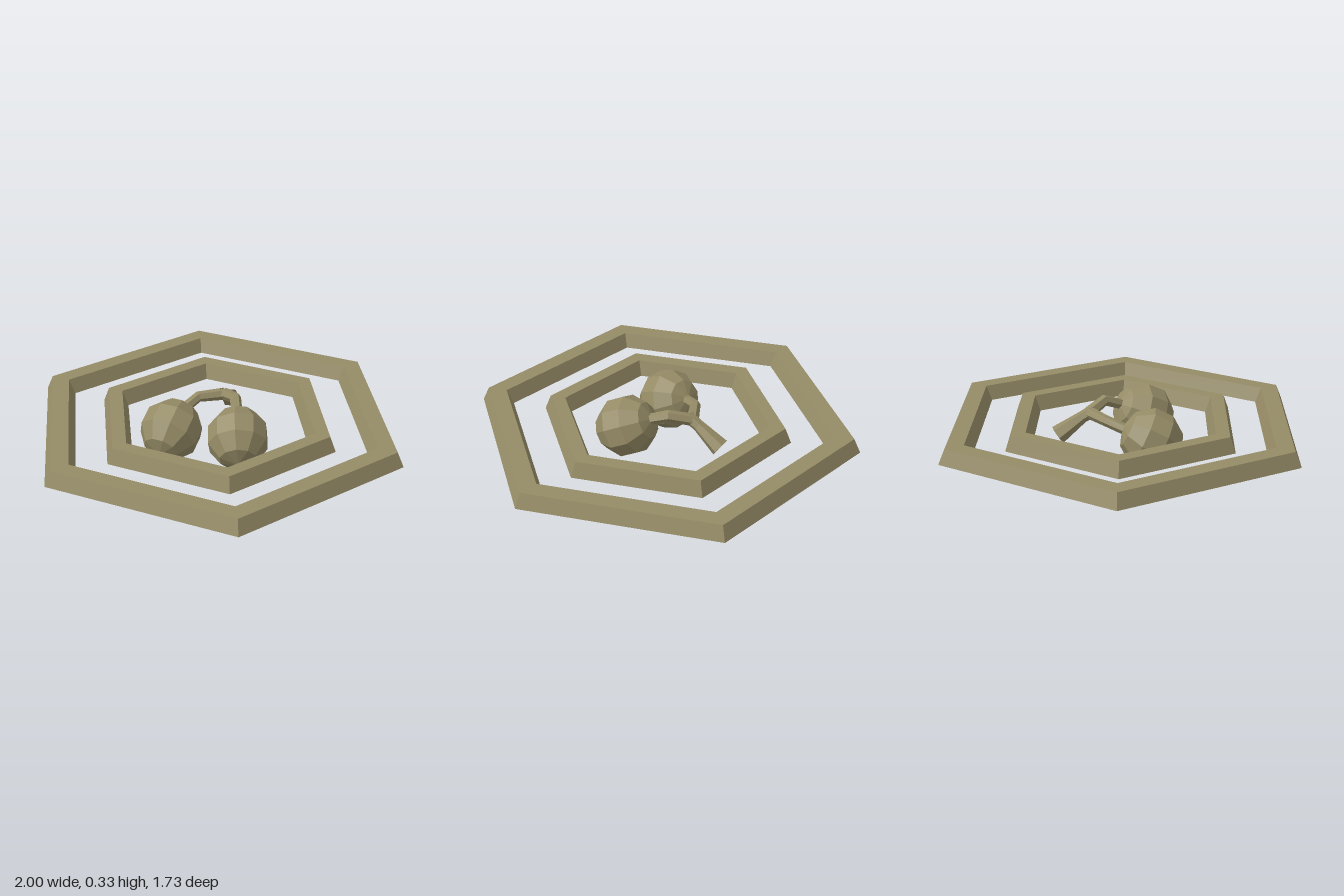
import * as THREE from 'three';

const material = new THREE.MeshStandardMaterial({ color: 0x958b66, flatShading: true, side: THREE.DoubleSide });

function addMesh(parent, name, geometry) {
  const mesh = new THREE.Mesh(geometry, material);
  mesh.name = name;
  parent.add(mesh);
  return mesh;
}

// Skins a list of vertex rings with quads; the result is flat shaded
function skin(rings) {
  const pos = [];
  const put = (...vs) => vs.forEach(v => pos.push(v.x, v.y, v.z));
  for (let i = 0; i < rings.length - 1; i++) {
    const n = rings[i].length;
    for (let j = 0; j < n; j++) {
      const a = rings[i][j], b = rings[i][(j + 1) % n];
      const c = rings[i + 1][(j + 1) % n], d = rings[i + 1][j];
      put(a, b, c, a, c, d);
    }
  }
  const geometry = new THREE.BufferGeometry();
  geometry.setAttribute('position', new THREE.Float32BufferAttribute(pos, 3));
  geometry.computeVertexNormals();
  return geometry;
}

// Hexagonal frame: sloped outer wall, flat top, sloped inner wall, open below
function hexFrame(radii, bottom, top) {
  const heights = [bottom, top, top, bottom];
  return skin(radii.map((r, i) => Array.from({ length: 6 }, (_, j) => {
    const a = -j * Math.PI / 3;
    return new THREE.Vector3(r * Math.cos(a), heights[i], r * Math.sin(a));
  })));
}

// Six-sided limb through points, with a radius at each one
function limb(points, radii) {
  const path = points.map(p => new THREE.Vector3(...p));
  const rings = path.map((p, i) => {
    const dir = path[Math.min(i + 1, path.length - 1)].clone().sub(path[Math.max(i - 1, 0)]).normalize();
    const side = new THREE.Vector3(0, 1, 0).cross(dir).normalize();
    const up = dir.clone().cross(side);
    return Array.from({ length: 6 }, (_, j) => {
      const a = j * Math.PI / 3;
      return p.clone().addScaledVector(side, radii[i] * Math.cos(a)).addScaledVector(up, radii[i] * Math.sin(a));
    });
  });
  // shallow dished cap at the far end
  const last = path[path.length - 1];
  const inner = last.clone().lerp(path[path.length - 2], 0.12);
  rings.push(Array(6).fill(inner));
  return skin(rings);
}

export function createModel() {
  const model = new THREE.Group();
  model.name = 'cherryEmblem';

  addMesh(model, 'outerFrame', hexFrame([1, 0.965, 0.865, 0.83], 0.155, 0.23));
  addMesh(model, 'innerFrame', hexFrame([0.652, 0.62, 0.54, 0.507], 0.155, 0.234));

  // Fruits, each with its pole turned towards its stalk
  const fruits = [
    ['rightFruit', [-0.18, 0.165, 0.153], [0, 0.44, -0.9]],
    ['leftFruit', [0.17, 0.18, 0.11], [-0.37, 0.45, -0.81]],
  ];
  for (const [name, centre, pole] of fruits) {
    const fruit = addMesh(model, name, new THREE.SphereGeometry(0.161, 10, 5));
    fruit.position.set(...centre);
    fruit.quaternion.setFromUnitVectors(new THREE.Vector3(0, 1, 0), new THREE.Vector3(...pole).normalize());
  }

  // Forked stalk with a flared, hollowed end
  const stalk = new THREE.Group();
  stalk.name = 'stalk';
  model.add(stalk);
  const fork = [-0.025, 0.25, -0.165];
  addMesh(stalk, 'rightBranch', limb([fork, [-0.135, 0.25, -0.08], [-0.18, 0.215, 0.03]], [0.032, 0.028, 0.028]));
  addMesh(stalk, 'leftBranch', limb([fork, [0.07, 0.283, -0.09], [0.125, 0.24, 0.01]], [0.032, 0.03, 0.028]));
  addMesh(stalk, 'stem', limb([[-0.02, 0.262, -0.14], [-0.032, 0.228, -0.2], [-0.06, 0.14, -0.325]], [0.034, 0.031, 0.05]));
  return model;
}
